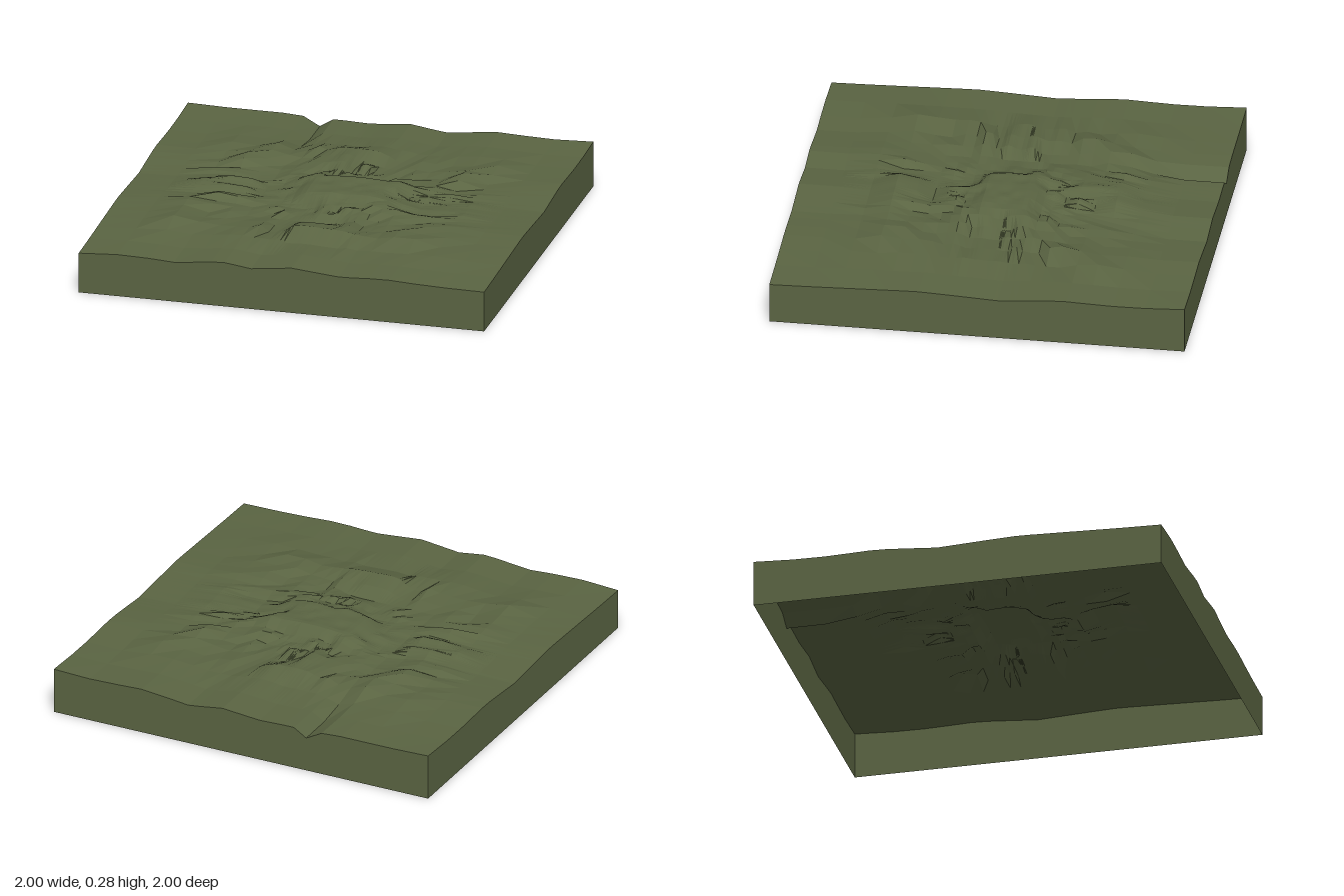
import * as THREE from 'three';

// Piecewise-linear profile through [position, height] points
function profile(points, t) {
  for (let i = 1; i < points.length; i++) {
    const [a, ya] = points[i - 1], [b, yb] = points[i];
    if (t <= b) return THREE.MathUtils.lerp(ya, yb, (t - a) / (b - a));
  }
  return points[points.length - 1][1];
}

// Rim heights of the four sides
const FRONT = [[-1, 0.2], [-0.78, 0.222], [-0.53, 0.2], [-0.3, 0.228], [-0.15, 0.205], [0.05, 0.228], [0.3, 0.205], [0.5, 0.22], [0.75, 0.205], [1, 0.2]];
const BACK = [[-1, 0.228], [-0.8, 0.22], [-0.53, 0.222], [-0.43, 0.215], [-0.35, 0.165], [-0.28, 0.215], [-0.1, 0.21], [0.1, 0.228], [0.28, 0.2], [0.53, 0.23], [0.8, 0.215], [1, 0.228]];
const SIDE = [[-1, 0.228], [-0.75, 0.208], [-0.4, 0.225], [-0.1, 0.202], [0.3, 0.222], [0.6, 0.215], [1, 0.2]];
// Highest ground along x and along z
const CREST_X = [[-1, 0.23], [-0.8, 0.235], [-0.65, 0.275], [-0.45, 0.276], [-0.32, 0.242], [-0.15, 0.275], [0, 0.284], [0.27, 0.284], [0.38, 0.248], [0.52, 0.282], [0.7, 0.245], [1, 0.23]];
const CREST_Z = [[-1, 0.23], [-0.7, 0.252], [-0.6, 0.268], [-0.36, 0.272], [-0.2, 0.256], [-0.13, 0.282], [0.1, 0.284], [0.2, 0.262], [0.32, 0.274], [0.45, 0.258], [0.56, 0.272], [0.7, 0.242], [1, 0.235]];

// Smooth seeded value noise, 0..1
function hash(i, j) {
  const s = Math.sin(i * 127.1 + j * 311.7 + 17.3) * 43758.5453;
  return s - Math.floor(s);
}
function noise(x, z) {
  const i = Math.floor(x), j = Math.floor(z);
  const u = THREE.MathUtils.smoothstep(x - i, 0, 1), v = THREE.MathUtils.smoothstep(z - j, 0, 1);
  const { lerp } = THREE.MathUtils;
  return lerp(lerp(hash(i, j), hash(i + 1, j), u), lerp(hash(i, j + 1), hash(i + 1, j + 1), u), v);
}

function heightAt(x, z) {
  const { lerp, smoothstep } = THREE.MathUtils;
  // Gentle outer ground carries the rim profile inward
  const zShare = (z * z) / (x * x + z * z + 1e-6);
  const rim = lerp(profile(SIDE, z), profile(z > 0 ? FRONT : BACK, x), zShare);
  // Rough hills between the valley floor and the crests
  const crest = Math.min(profile(CREST_X, x), profile(CREST_Z, z));
  let rough = 0.55 * noise(x * 6, z * 6) + 0.45 * noise(x * 17 + 9, z * 17);
  rough = smoothstep(rough, 0.1, 0.9);
  // Raised plateau near the middle, with a steep front edge
  const plateau = smoothstep(x, -0.24, -0.1) * (1 - smoothstep(x, 0.24, 0.32))
    * smoothstep(z, -0.2, -0.1) * (1 - smoothstep(z, 0.09, 0.18));
  rough = lerp(rough, 0.8 + 0.2 * rough, plateau);
  const hills = lerp(0.212, crest, rough);
  return lerp(hills, rim, smoothstep(Math.max(Math.abs(x) * 0.9, Math.abs(z)), 0.48, 0.82));
}

// Builds a faceted sheet from rows of points
function sheet(rows, material, name) {
  const n = rows[0].length, index = [];
  for (let r = 0; r < rows.length - 1; r++) {
    for (let c = 0; c < n - 1; c++) {
      const a = r * n + c, b = a + n;
      index.push(a, b, a + 1, b, b + 1, a + 1);
    }
  }
  const indexed = new THREE.BufferGeometry();
  indexed.setAttribute('position', new THREE.Float32BufferAttribute(rows.flat(2), 3));
  indexed.setIndex(index);
  const geometry = indexed.toNonIndexed();
  geometry.computeVertexNormals();
  const mesh = new THREE.Mesh(geometry, material);
  mesh.name = name;
  return mesh;
}

export function createModel() {
  const group = new THREE.Group();
  group.name = 'terrainTile';
  const moss = new THREE.MeshStandardMaterial({ color: 0x5a6442, flatShading: true, side: THREE.DoubleSide });
  moss.name = 'mossGreen';

  // Grid lines crowd towards the middle by a constant ratio
  const half = Array.from({ length: 19 }, (_, i) => Math.pow(0.81, i));
  const lines = [...half.map(v => -v), 0, ...half.slice().reverse()];
  const ground = lines.map(z => lines.map(x => [x, heightAt(x, z), z]));
  group.add(sheet(ground, moss, 'ground'));

  // Four walls drop from the rim to the open base
  const last = lines.length - 1;
  const rims = {
    frontWall: ground[last],
    backWall: ground[0].slice().reverse(),
    leftWall: ground.map(row => row[last]).reverse(),
    rightWall: ground.map(row => row[0]),
  };
  for (const [name, rim] of Object.entries(rims)) {
    group.add(sheet([rim, rim.map(([x, , z]) => [x, 0, z])], moss, name));
  }
  return group;
}
